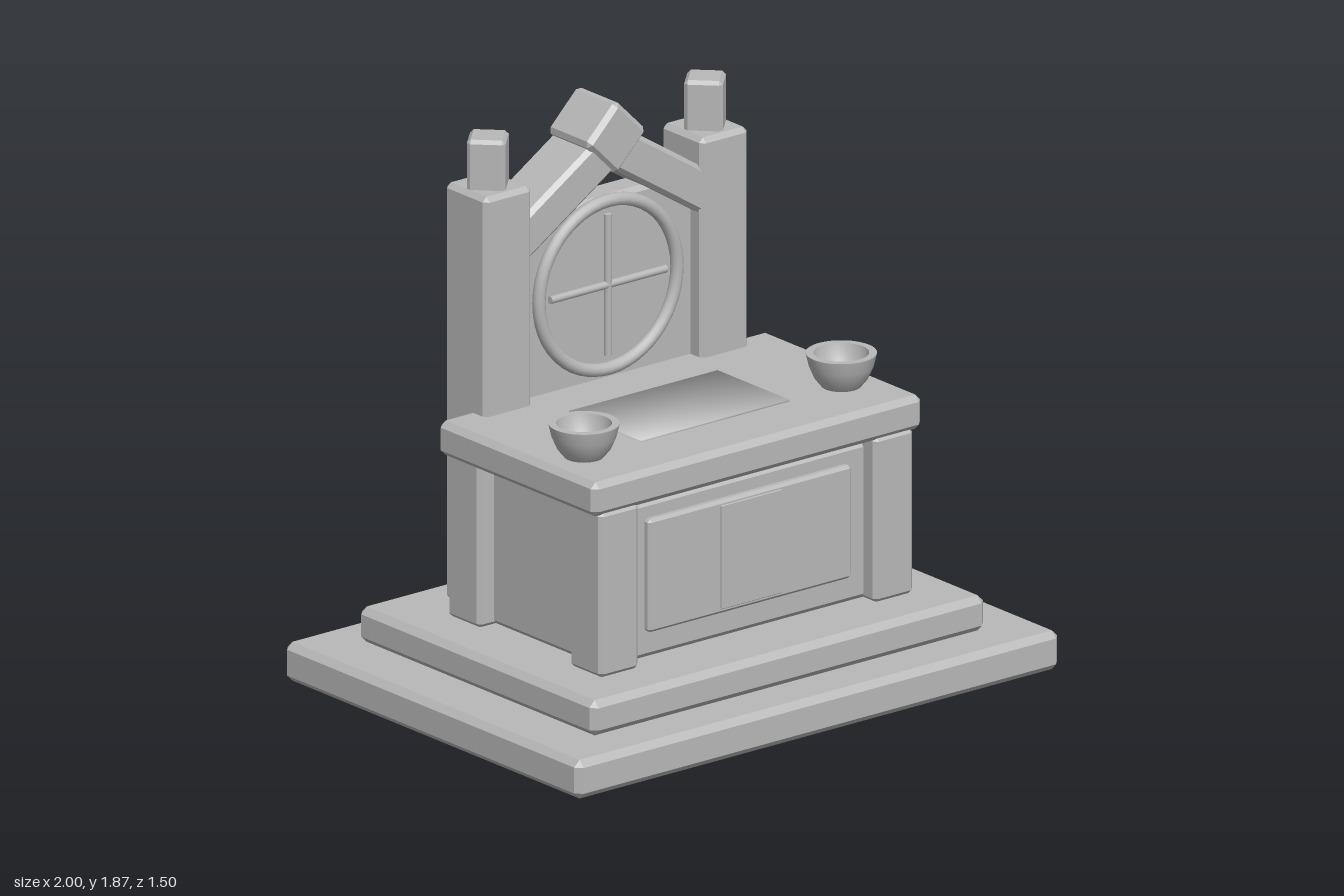
import * as THREE from 'three';
import { toCreasedNormals } from 'three/addons/utils/BufferGeometryUtils.js';
import { ConvexGeometry } from 'three/addons/geometries/ConvexGeometry.js';

const stone = new THREE.MeshStandardMaterial({ color: 0xb8b8b8 });
stone.name = 'grey stone';

// Box with all edges and corners chamfered by c
function chamferBox(w, h, d, c) {
  const pts = [];
  for (const x of [-w / 2, w / 2]) for (const y of [-h / 2, h / 2]) for (const z of [-d / 2, d / 2]) {
    const sx = x - Math.sign(x) * c, sy = y - Math.sign(y) * c, sz = z - Math.sign(z) * c;
    pts.push(new THREE.Vector3(x, sy, sz), new THREE.Vector3(sx, y, sz), new THREE.Vector3(sx, sy, z));
  }
  return new ConvexGeometry(pts);
}

export function createModel() {
  const model = new THREE.Group();
  model.name = 'altar';

  function add(name, geometry, x, y, z) {
    const mesh = new THREE.Mesh(geometry, stone);
    mesh.name = name;
    mesh.position.set(x, y, z);
    model.add(mesh);
    return mesh;
  }
  // Chamfered block given by its limits on each axis
  function block(name, [x0, x1], [y0, y1], [z0, z1], c) {
    return add(name, chamferBox(x1 - x0, y1 - y0, z1 - z0, c), (x0 + x1) / 2, (y0 + y1) / 2, (z0 + z1) / 2);
  }

  // Stepped platform
  block('base', [-1, 1], [0, 0.132], [-0.75, 0.75], 0.022);
  block('step', [-0.815, 0.815], [0.132, 0.252], [-0.6, 0.6], 0.022);

  // Table: body, top, front panel
  block('tableBody', [-0.59, 0.59], [0.25, 0.79], [-0.29, 0.375], 0.02);
  block('tableTop', [-0.682, 0.682], [0.805, 0.922], [-0.358, 0.442], 0.02);
  block('frontPanel', [-0.42, 0.42], [0.345, 0.73], [0.35, 0.4], 0.01);
  block('frontPanelCentre', [-0.125, 0.125], [0.362, 0.715], [0.396, 0.405], 0.002);

  // Inner faces of the thin cloth blend softly to its corners
  const clothGeo = new THREE.BoxGeometry(0.615, 0.012, 0.365);
  const p = clothGeo.attributes.position, n = clothGeo.attributes.normal;
  for (let i = 0; i < p.count; i++) {
    const v = new THREE.Vector3(Math.sign(p.getX(i)), Math.sign(p.getY(i)), Math.sign(p.getZ(i))).normalize();
    n.setXYZ(i, v.x, v.y, v.z);
  }
  add('cloth', clothGeo, 0, 0.922, 0.037);

  // Bowl profile: foot, outer wall, rim, inner wall, inner floor
  const profile = [[0, 0], [0.064, 0], [0.088, 0.03], [0.105, 0.07], [0.115, 0.113],
    [0.09, 0.113], [0.08, 0.07], [0.058, 0.035], [0, 0.035]];
  const bowlGeo = toCreasedNormals(
    new THREE.LatheGeometry(profile.map(([r, y]) => new THREE.Vector2(r, y)), 32), 0.7);

  const slope = Math.atan(0.64);
  for (const s of [1, -1]) {
    const side = s > 0 ? 'left' : 'right';
    const span = (a, b) => (s > 0 ? [a, b] : [-b, -a]);

    // Table legs and bowls
    block(side + 'FrontLeg', span(0.487, 0.65), [0.25, 0.815], [0.27, 0.435], 0.015);
    block(side + 'BackLeg', span(0.487, 0.65), [0.25, 0.815], [-0.348, -0.18], 0.015);
    add(side + 'Bowl', bowlGeo, s * 0.533, 0.922, 0.206);

    // Tall posts with diamond-set finials
    block(side + 'Post', span(0.35, 0.547), [0.25, 1.667], [-0.487, -0.275], 0.016);
    const finial = add(side + 'Finial', chamferBox(0.125, 0.185, 0.125, 0.012), s * 0.45, 1.742, -0.383);
    finial.rotation.y = Math.PI / 4;

    // Sloping gable beam
    const beam = add(side + 'GableBeam', chamferBox(0.54, 0.137, 0.2, 0.015), s * 0.2, 1.592, -0.385);
    beam.rotation.z = -s * slope;
  }

  // Gable peak block
  const peak = add('gablePeak', chamferBox(0.18, 0.18, 0.216, 0.016), 0, 1.75, -0.381);
  peak.rotation.z = Math.PI / 4;

  // Back panel with ring and cross
  block('backPanel', [-0.37, 0.37], [0.3, 1.538], [-0.445, -0.335], 0.016);
  add('ring', new THREE.TorusGeometry(0.286, 0.022, 12, 48), 0, 1.24, -0.325);
  const bar = new THREE.CylinderGeometry(0.013, 0.013, 0.48, 12);
  add('uprightBar', bar, 0, 1.24, -0.325);
  add('crossBar', bar, 0, 1.24, -0.325).rotation.z = Math.PI / 2;

  return model;
}
